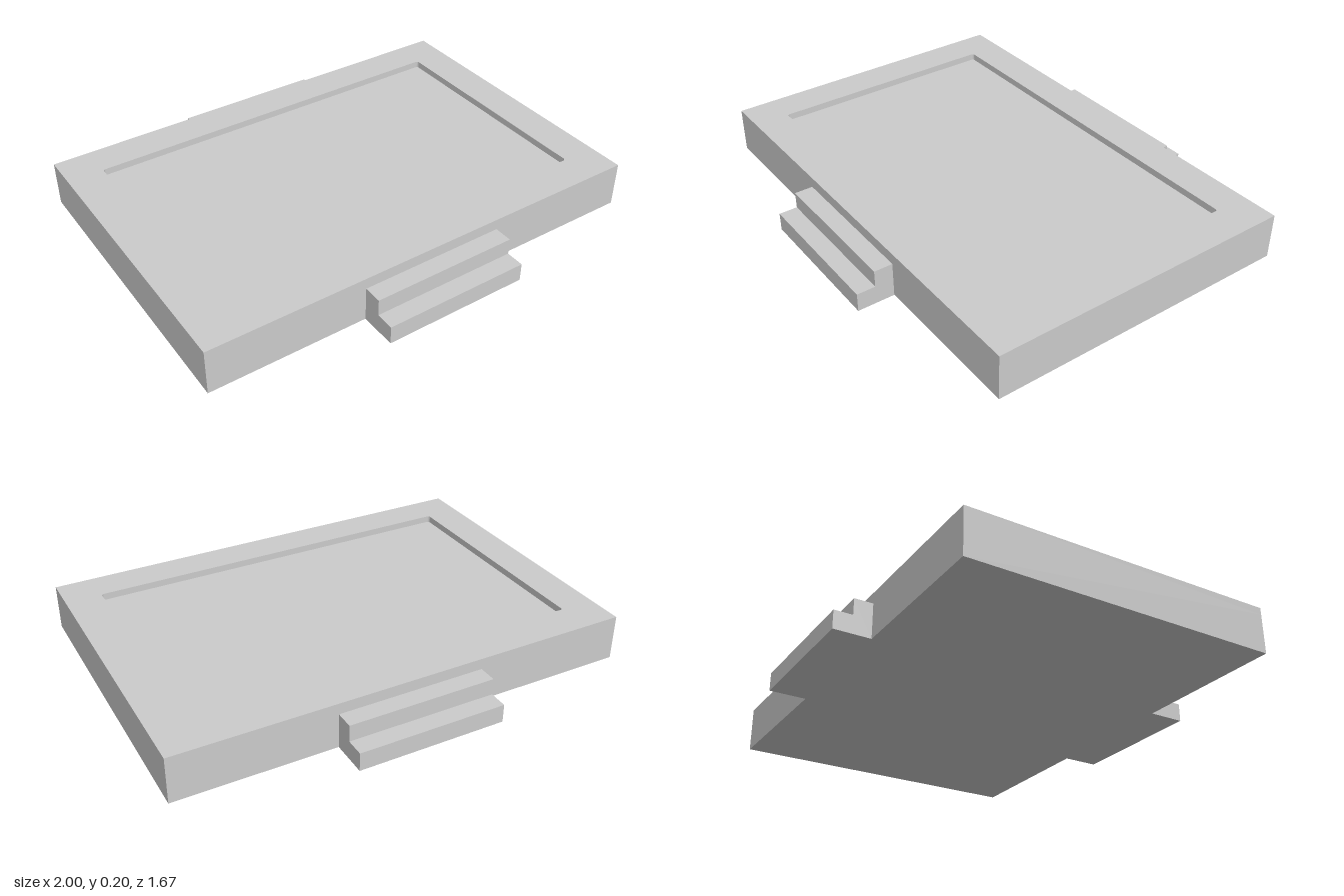
import * as THREE from 'three';

const material = new THREE.MeshStandardMaterial({ color: 0xcccccc, flatShading: true });

const HALF_X = 1, HALF_Z = 0.677, TOP = 0.2, FLOOR = 0.17;

function addMesh(parent, name, geometry) {
  const mesh = new THREE.Mesh(geometry, material);
  mesh.name = name;
  parent.add(mesh);
  return mesh;
}

// Rectangle centred on the origin with small rounded corners
function roundedRect(path, hx, hy, r) {
  path.moveTo(-hx + r, -hy);
  path.absarc(hx - r, -hy + r, r, -Math.PI / 2, 0);
  path.absarc(hx - r, hy - r, r, 0, Math.PI / 2);
  path.absarc(-hx + r, hy - r, r, Math.PI / 2, Math.PI);
  path.absarc(-hx + r, -hy + r, r, Math.PI, Math.PI * 1.5);
  return path;
}

// Two-tread stair: side profile (outward, up) extruded across its width
function stairGeometry() {
  const profile = new THREE.Shape([
    [0, 0], [0.16, 0], [0.16, 0.08], [0.08, 0.08], [0.08, 0.152], [0, 0.152],
  ].map(([x, y]) => new THREE.Vector2(x, y)));
  const geometry = new THREE.ExtrudeGeometry(profile, { depth: 0.64, bevelEnabled: false });
  geometry.translate(0, 0, -0.32);
  geometry.rotateY(-Math.PI / 2); // profile now points to +z
  return geometry;
}

export function createModel() {
  const model = new THREE.Group();
  model.name = 'steppedPlatform';

  // Solid slab up to the recessed floor
  addMesh(model, 'platformBase', new THREE.BoxGeometry(HALF_X * 2, FLOOR, HALF_Z * 2))
    .position.y = FLOOR / 2;

  // Raised border around the recess
  const border = new THREE.Shape([
    new THREE.Vector2(-HALF_X, -HALF_Z), new THREE.Vector2(HALF_X, -HALF_Z),
    new THREE.Vector2(HALF_X, HALF_Z), new THREE.Vector2(-HALF_X, HALF_Z),
  ]);
  border.holes.push(roundedRect(new THREE.Path(), 0.842, 0.521, 0.012));
  const rim = new THREE.ExtrudeGeometry(border, { depth: TOP - FLOOR, bevelEnabled: false, curveSegments: 4 });
  rim.rotateX(-Math.PI / 2);
  addMesh(model, 'raisedRim', rim).position.y = FLOOR;

  // Matching stairs at front and back
  for (const side of [1, -1]) {
    const stair = addMesh(model, side > 0 ? 'frontSteps' : 'backSteps', stairGeometry());
    stair.position.z = side * HALF_Z;
    if (side < 0) stair.rotation.y = Math.PI;
  }
  return model;
}
